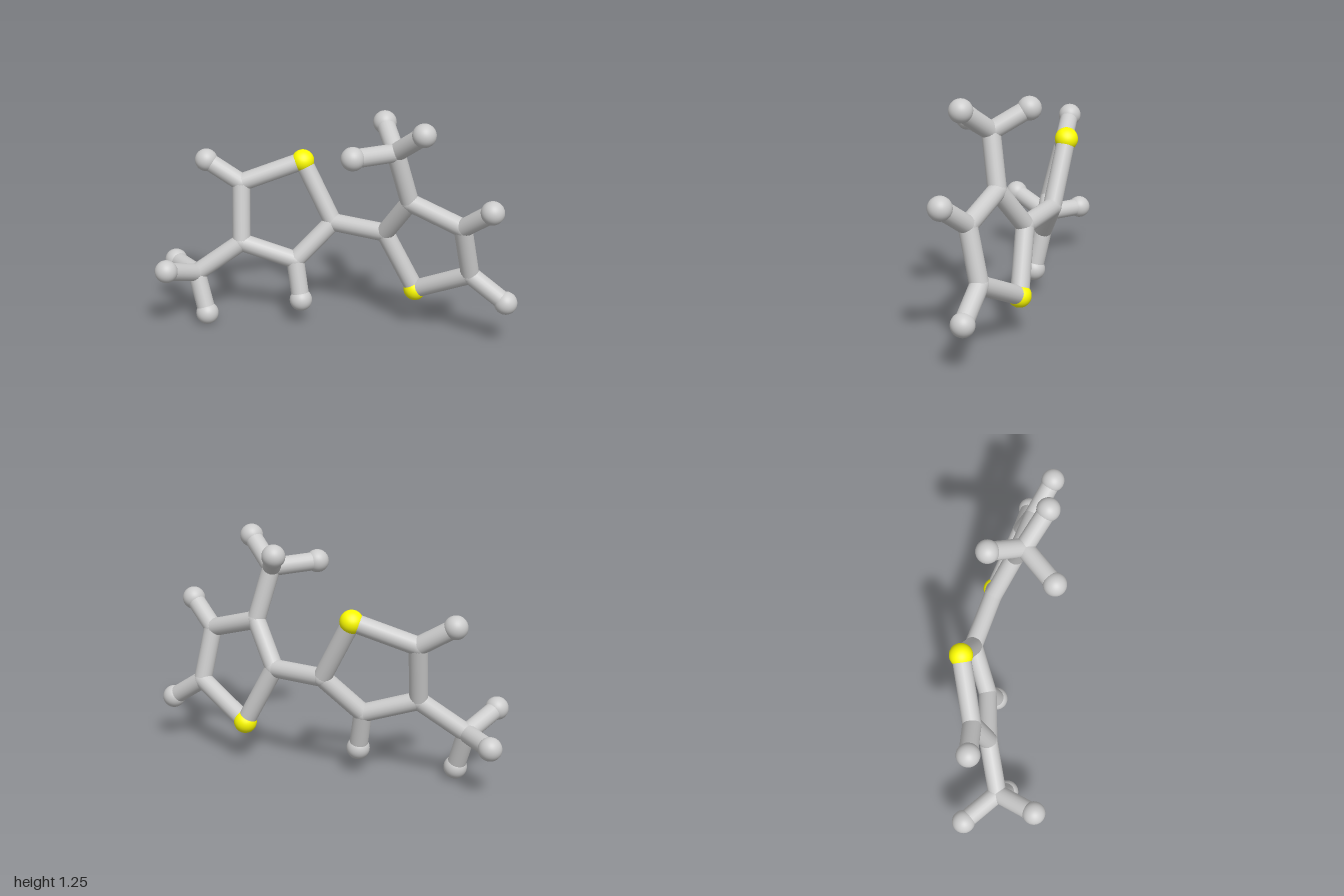
import * as THREE from 'three';

const BOND_RADIUS = 0.049;
const RADII = { carbon: 0.05, hydrogen: 0.062, sulfur: 0.062 };

// Atom centres, grouped by element
const ATOMS = {
  sulfur: {
    S1: [-0.226, 0.893, -0.24],
    S2: [0.422, 0.232, -0.188],
  },
  carbon: {
    // left ring and its methyl
    A2: [-0.05, 0.563, -0.216],
    A3: [-0.235, 0.36, -0.11],
    A4: [-0.525, 0.455, -0.055],
    A5: [-0.545, 0.775, -0.13],
    AM: [-0.76, 0.283, 0.032],
    // right ring and its methyl
    B2: [0.255, 0.553, -0.163],
    B3: [0.41, 0.775, -0.066],
    B4: [0.705, 0.68, -0.015],
    B5: [0.74, 0.393, -0.085],
    BM: [0.342, 1.06, -0.01],
  },
  hydrogen: {
    HA3: [-0.193, 0.143, -0.072],
    HA5: [-0.737, 0.893, -0.112],
    HAa: [-0.94, 0.28, -0.12],
    HAb: [-0.852, 0.364, 0.243],
    HAc: [-0.69, 0.066, 0.072],
    HB4: [0.868, 0.808, 0.064],
    HB5: [0.937, 0.26, -0.07],
    HBa: [0.51, 1.195, 0.087],
    HBb: [0.243, 1.167, -0.18],
    HBc: [0.163, 1.07, 0.178],
  },
};

const BONDS = {
  leftRing: ['S1-A2', 'A2-A3', 'A3-A4', 'A4-A5', 'A5-S1', 'A3-HA3', 'A5-HA5'],
  rightRing: ['S2-B2', 'B2-B3', 'B3-B4', 'B4-B5', 'B5-S2', 'B4-HB4', 'B5-HB5'],
  ringLink: ['A2-B2'],
  leftMethyl: ['A4-AM', 'AM-HAa', 'AM-HAb', 'AM-HAc'],
  rightMethyl: ['B3-BM', 'BM-HBa', 'BM-HBb', 'BM-HBc'],
};

export function createModel() {
  const model = new THREE.Group();
  model.name = 'molecule';
  const grey = new THREE.MeshStandardMaterial({ color: 0xcccccc });
  const yellow = new THREE.MeshStandardMaterial({ color: 0xffff00 });
  const centres = {};

  // Atoms: one sphere each
  for (const [element, atoms] of Object.entries(ATOMS)) {
    const group = new THREE.Group();
    group.name = `${element}Atoms`;
    const sphere = new THREE.SphereGeometry(RADII[element], 32, 20);
    for (const [key, position] of Object.entries(atoms)) {
      const atom = new THREE.Mesh(sphere, element === 'sulfur' ? yellow : grey);
      atom.name = `${element}Atom`;
      atom.position.fromArray(position);
      centres[key] = atom.position;
      group.add(atom);
    }
    model.add(group);
  }

  // Bonds: a cylinder from centre to centre
  const up = new THREE.Vector3(0, 1, 0);
  for (const [name, pairs] of Object.entries(BONDS)) {
    const group = new THREE.Group();
    group.name = `${name}Bonds`;
    for (const pair of pairs) {
      const [a, b] = pair.split('-').map((key) => centres[key]);
      const axis = b.clone().sub(a);
      const bond = new THREE.Mesh(
        new THREE.CylinderGeometry(BOND_RADIUS, BOND_RADIUS, axis.length(), 20, 1, true),
        grey,
      );
      bond.name = 'bond';
      bond.position.copy(a).add(b).multiplyScalar(0.5);
      bond.quaternion.setFromUnitVectors(up, axis.normalize());
      group.add(bond);
    }
    model.add(group);
  }
  return model;
}
